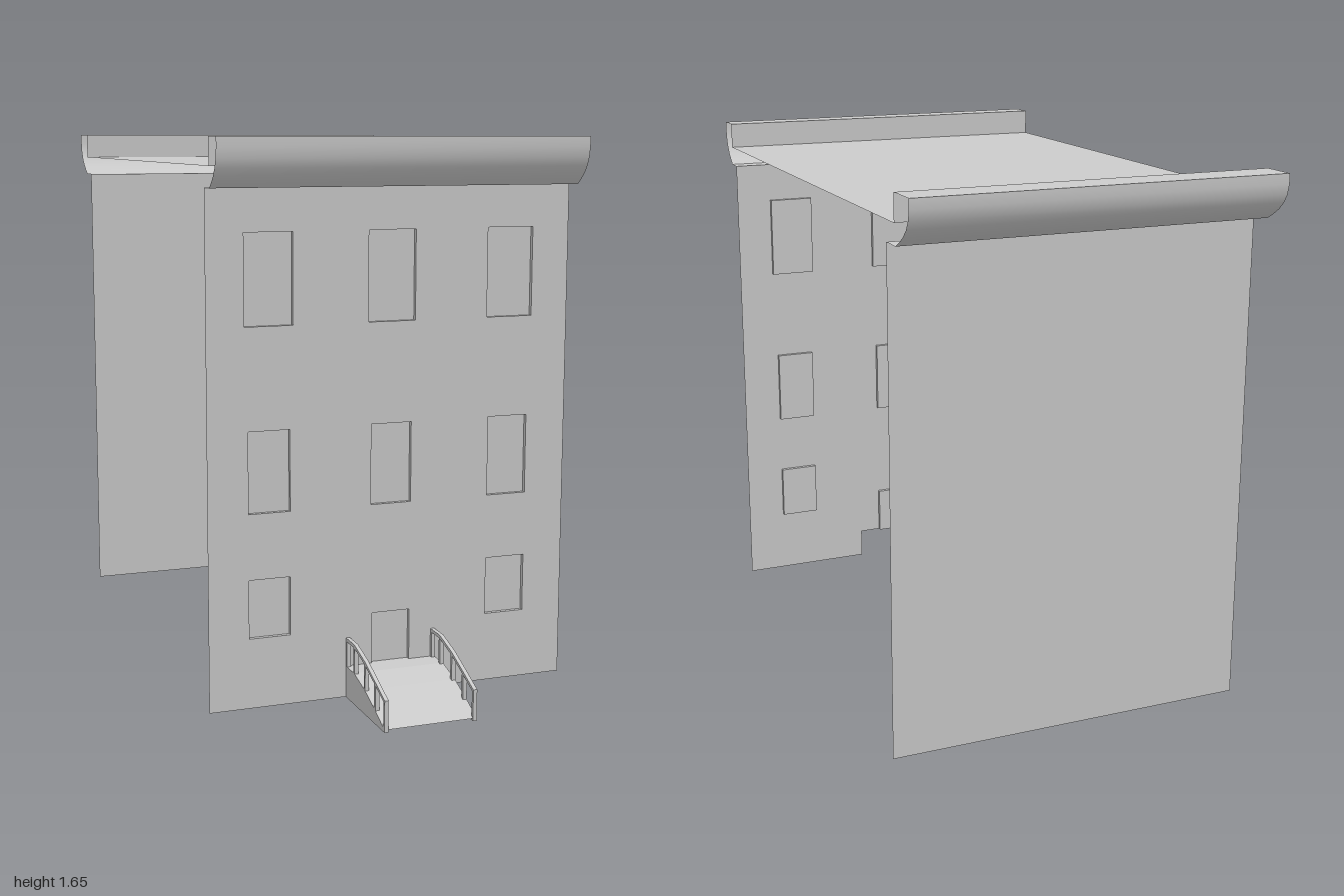
import * as THREE from 'three';

const W = 0.563, WALL_TOP = 1.51, FRONT = 0.692, BACK = -0.83, LAND = 0.095;

export function createModel() {
  const model = new THREE.Group();
  model.name = 'building';
  const mat = new THREE.MeshStandardMaterial({ color: 0xcccccc, side: THREE.DoubleSide });

  function add(name, geometry, parent = model) {
    const mesh = new THREE.Mesh(geometry, mat);
    mesh.name = name;
    parent.add(mesh);
    return mesh;
  }

  // Open sheet swept along x from a [z, y] profile, smooth along the profile
  function sheet(name, profile, halfWidth = W, parent = model) {
    const pos = [], idx = [];
    profile.forEach(([z, y], i) => {
      pos.push(-halfWidth, y, z, halfWidth, y, z);
      if (i) {
        const a = 2 * i - 2;
        idx.push(a, a + 1, a + 3, a, a + 3, a + 2);
      }
    });
    const g = new THREE.BufferGeometry();
    g.setAttribute('position', new THREE.Float32BufferAttribute(pos, 3));
    g.setIndex(idx);
    g.computeVertexNormals();
    return add(name, g, parent);
  }

  // Openings as [left, right, bottom, top]
  const windows = [];
  for (const x of [-0.378, -0.002, 0.373]) {
    windows.push([x - 0.073, x + 0.073, 1.12, 1.385]);
    windows.push([x - 0.063, x + 0.063, 0.58, 0.82]);
    if (Math.abs(x) > 0.1) windows.push([x - 0.063, x + 0.063, 0.21, 0.385]);
  }
  const door = [-0.06, 0.06, LAND, 0.25];

  // Front wall, cut out behind the ramp and at the door
  const N = 0.14;
  const outline = new THREE.Shape([
    [-W, 0], [-N, 0], [-N, LAND], [door[0], LAND], [door[0], door[3]],
    [door[1], door[3]], [door[1], LAND], [N, LAND], [N, 0],
    [W, 0], [W, WALL_TOP], [-W, WALL_TOP],
  ].map(([x, y]) => new THREE.Vector2(x, y)));
  for (const [l, r, b, t] of windows) {
    outline.holes.push(new THREE.Path([
      new THREE.Vector2(l, b), new THREE.Vector2(l, t),
      new THREE.Vector2(r, t), new THREE.Vector2(r, b),
    ]));
  }
  add('frontWall', new THREE.ShapeGeometry(outline)).position.z = FRONT;

  // Recessed panes with reveals: a shallow box without its front face
  function recess(name, [l, r, b, t]) {
    const depth = 0.013;
    const g = new THREE.BoxGeometry(r - l, t - b, depth);
    const idx = Array.from(g.index.array);
    idx.splice(24, 6);
    g.clearGroups();
    g.setIndex(idx);
    add(name, g).position.set((l + r) / 2, (b + t) / 2, FRONT - depth / 2);
  }
  windows.forEach((w) => recess('window', w));
  recess('door', door);

  // Back wall and roof
  sheet('backWall', [[BACK, WALL_TOP], [BACK, 0]]);
  sheet('roof', [[-0.89, 1.57], [0.74, 1.57]]).geometry.scale(1, 1, 1);

  // Cornices, open at both ends
  function cornice(name, wall, soffit, outer, inner) {
    const group = new THREE.Group();
    group.name = name;
    model.add(group);
    const at = (t) => soffit + (outer - soffit) * t;
    sheet('soffit', [[wall, WALL_TOP], [soffit, WALL_TOP]], W, group);
    const curve = [[0, 1.51], [0.28, 1.525], [0.55, 1.543], [0.78, 1.565], [0.93, 1.59], [1, 1.62], [1, 1.65]];
    sheet('moulding', curve.map(([t, y]) => [at(t), y]), W, group);
    sheet('cap', [[outer, 1.65], [inner, 1.65]], W, group);
    sheet('parapet', [[inner, 1.65], [inner, 1.57]], W, group);
  }
  cornice('frontCornice', FRONT, 0.745, 0.815, 0.74);
  cornice('backCornice', BACK, -0.9, -1, -0.89);

  // Entrance ramp: sloped deck and two side panels
  const ramp = new THREE.Group();
  ramp.name = 'ramp';
  model.add(ramp);
  const deck = [[1, 0.008], [0.925, 0.042], [0.845, 0.073], [0.76, LAND], [FRONT, LAND]];
  const R = 0.13;
  for (let i = 1; i < deck.length; i++) sheet('deck', [deck[i - 1], deck[i]], R, ramp);

  // Shapes drawn in (z, y) and given a thickness along x
  function sideShape(name, pts, thickness, x, parent) {
    const s = new THREE.Shape(pts.map(([z, y]) => new THREE.Vector2(z, y)));
    const g = new THREE.ExtrudeGeometry(s, { depth: thickness, bevelEnabled: false });
    g.translate(0, 0, -thickness / 2);
    g.rotateY(-Math.PI / 2);
    add(name, g, parent).position.x = x;
  }

  const railTop = [[1, 0.093], [0.925, 0.125], [0.845, 0.158], [0.76, 0.182], [FRONT, 0.182]];
  const T = 0.012;
  for (const side of [-1, 1]) {
    const x = side * (R + T / 2);
    sideShape('rampSide', [[1, 0], ...deck, [FRONT, 0]], T, x, ramp);
    const rail = new THREE.Group();
    rail.name = side > 0 ? 'leftRailing' : 'rightRailing';
    ramp.add(rail);
    const under = railTop.map(([z, y]) => [z, y - 0.01]).reverse();
    sideShape('handrail', [...railTop, ...under], T, x, rail);
    railTop.forEach(([z, y], i) => {
      const a = i === 0 ? z - 0.01 : i === 4 ? z : z - 0.005;
      const low = deck[i][1] - 0.004, high = y - 0.008;
      sideShape('post', [[a, low], [a + 0.01, low], [a + 0.01, high], [a, high]], T, x, rail);
    });
  }

  return model;
}
